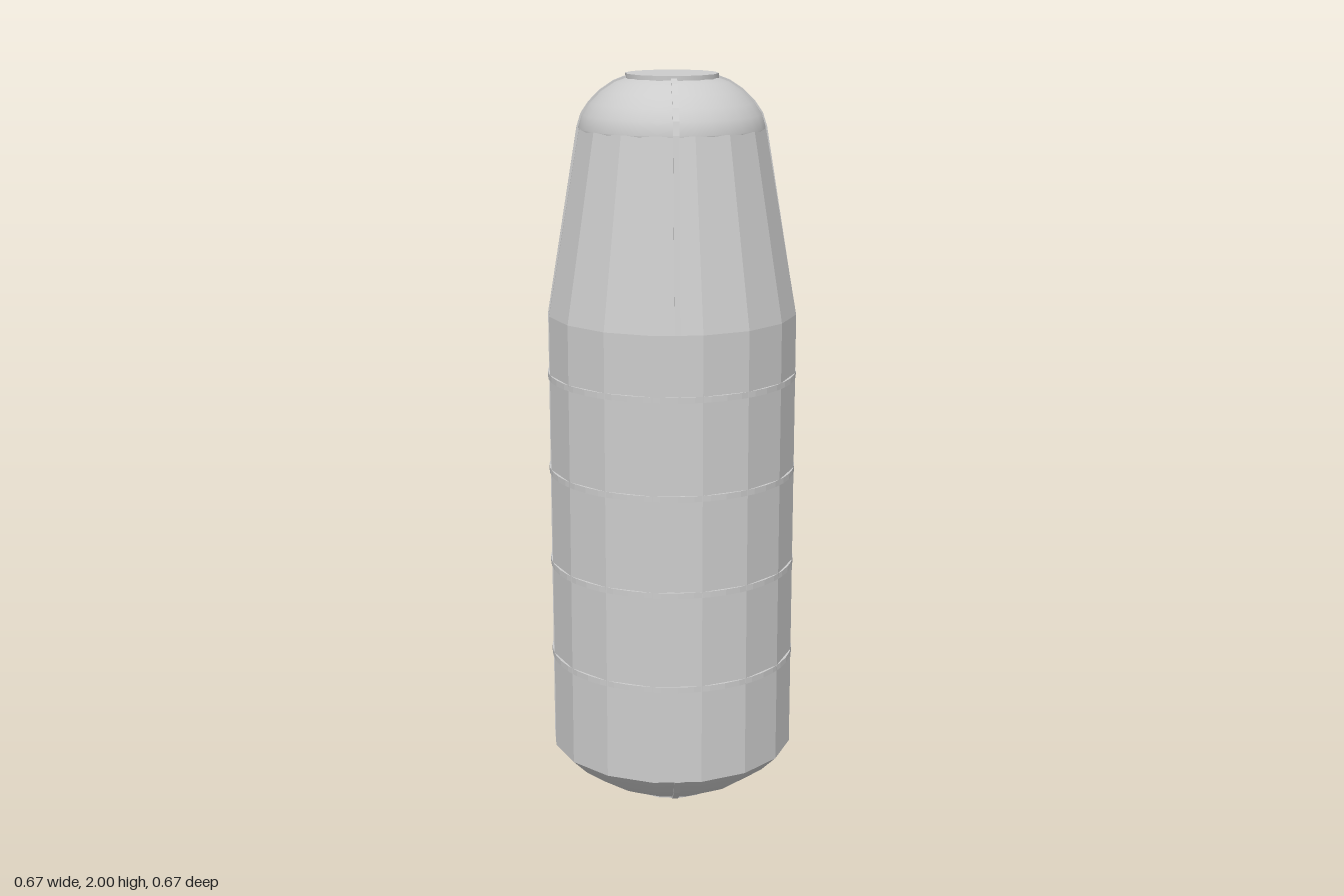
import * as THREE from 'three';

const SIDES = 16;
const HALF = Math.PI / SIDES;
const V = (r, y) => new THREE.Vector2(r, y);

export function createModel() {
  const group = new THREE.Group();
  const grey = new THREE.MeshStandardMaterial({ color: 0xcccccc });
  grey.name = 'light grey';

  function add(name, geometry, y = 0) {
    const mesh = new THREE.Mesh(geometry, grey);
    mesh.name = name;
    mesh.position.y = y;
    group.add(mesh);
    return mesh;
  }

  // Faceted tube with flat faces centred on the axes
  function facetedTube(name, rTop, rBottom, y0, y1) {
    const g = new THREE.CylinderGeometry(rTop, rBottom, y1 - y0, SIDES, 1, true, HALF).toNonIndexed();
    g.computeVertexNormals();
    add(name, g, (y0 + y1) / 2);
  }
  facetedTube('body', 0.335, 0.335, 0.145, 1.37);
  facetedTube('taperedShoulder', 0.248, 0.335, 1.37, 1.86);

  // Rounded ends, profiles run bottom to top
  const base = [V(0.11, 0.01), V(0.18, 0.031), V(0.235, 0.06), V(0.29, 0.1), V(0.335, 0.145)];
  add('roundedBase', new THREE.LatheGeometry(base, SIDES, HALF));
  const dome = [V(0.24, 1.852), V(0.247, 1.86), V(0.236, 1.895), V(0.215, 1.925),
    V(0.185, 1.955), V(0.15, 1.978), V(0.11, 1.992)];
  add('dome', new THREE.LatheGeometry(dome, 32));

  // End discs
  add('topCap', new THREE.CylinderGeometry(0.123, 0.123, 0.015, 14), 1.9925);
  add('bottomCap', new THREE.CylinderGeometry(0.123, 0.123, 0.015, 14), 0.0075);

  // Round hoops that stand proud of the flat faces
  const hoop = [V(0.32, -0.008), V(0.3355, -0.008), V(0.3355, 0.008), V(0.32, 0.008)];
  for (const y of [0.413, 0.677, 0.94, 1.203]) {
    const g = new THREE.LatheGeometry(hoop, 48).toNonIndexed();
    g.computeVertexNormals();
    add('hoop', g, y);
  }

  // Four thin ribs following the profile from cap to cap
  const outer = [V(0.115, 0.008), V(0.181, 0.027), V(0.237, 0.056), V(0.291, 0.096), V(0.332, 0.145),
    V(0.332, 1.37), V(0.25, 1.862), V(0.239, 1.897), V(0.218, 1.928), V(0.188, 1.958),
    V(0.152, 1.982), V(0.115, 1.996)];
  const inner = outer.map(p => V(p.x - 0.02, 1 + (p.y - 1) * 0.985)).reverse();
  const width = 0.016;
  const rib = new THREE.ExtrudeGeometry(new THREE.Shape([...outer, ...inner]), { depth: width, bevelEnabled: false });
  rib.translate(0, 0, -width / 2);
  for (let i = 0; i < 4; i++) {
    add('rib', rib).rotation.y = Math.PI / 4 + i * Math.PI / 2;
  }
  return group;
}
